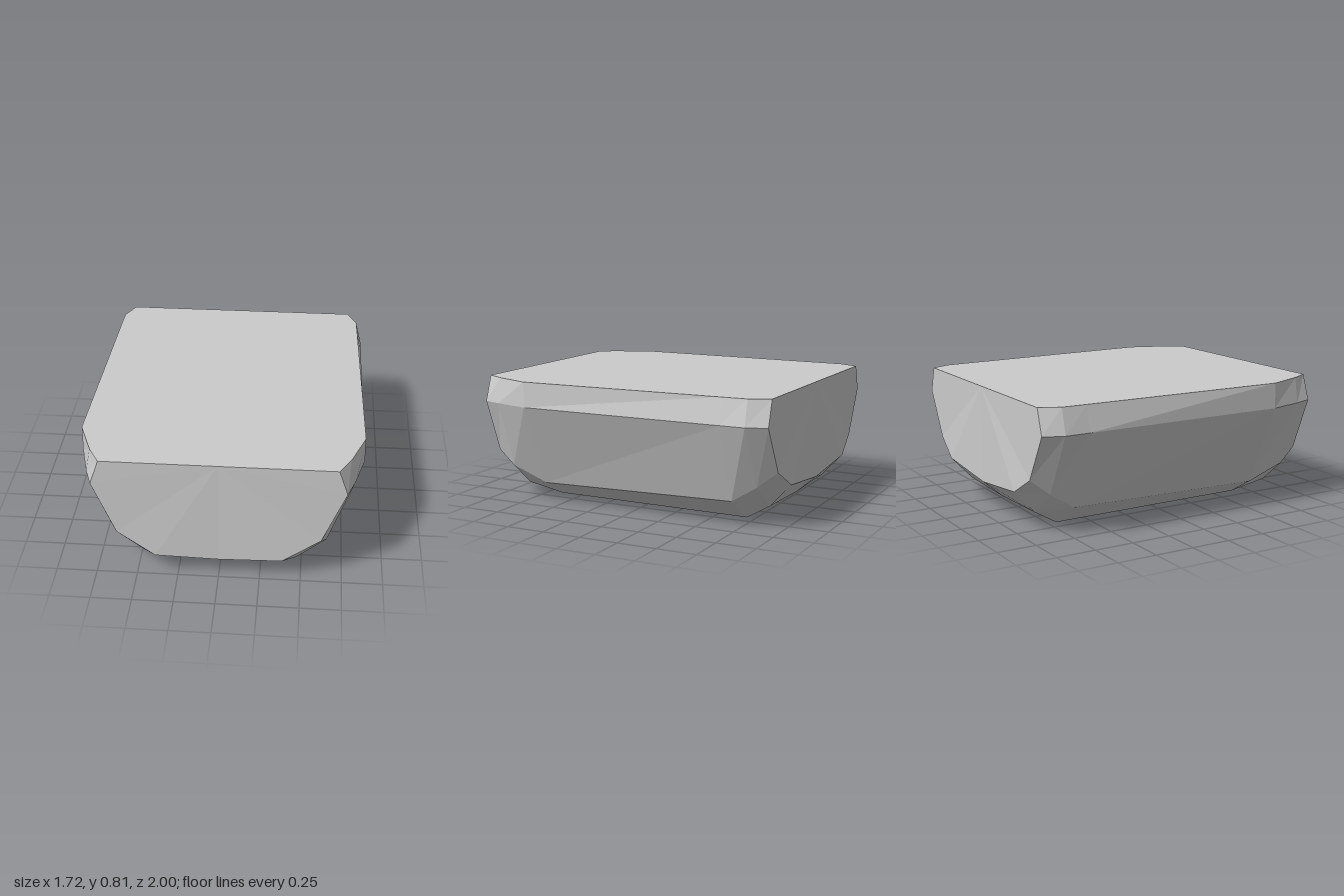
import * as THREE from 'three';

// Half cross-sections from front to back, each [x, y, z]:
// top rim, side shoulder, chine, bottom edge, keel
const sections = [
  [[0.70, 0.81, 0.985], [0.755, 0.65, 0.987], [0.615, 0.305, 0.99], [0.385, 0.145, 1.0], [0, 0.125, 0.987]],
  [[0.77, 0.81, 0.86], [0.80, 0.65, 0.86], [0.65, 0.22, 0.86], [0.47, 0.07, 0.86], [0, 0.04, 0.86]],
  [[0.858, 0.81, 0.63], [0.86, 0.65, 0.63], [0.62, 0.12, 0.63], [0.43, 0.01, 0.63], [0, 0.005, 0.63]],
  [[0.825, 0.81, -0.70], [0.86, 0.65, -0.70], [0.67, 0.16, -0.70], [0.43, 0.004, -0.70], [0, 0, -0.70]],
  [[0.82, 0.81, -0.86], [0.86, 0.65, -0.86], [0.665, 0.26, -0.86], [0.46, 0.10, -0.86], [0, 0.09, -0.86]],
  [[0.76, 0.81, -0.985], [0.81, 0.65, -0.985], [0.65, 0.36, -0.985], [0.47, 0.25, -1.0], [0, 0.20, -0.987]],
];

// Mirror a half section into a full ring, left rim to right rim
function fullRing(half) {
  const mirrored = half.slice(0, -1).reverse().map(([x, y, z]) => [-x, y, z]);
  return [...half, ...mirrored];
}

function loftGeometry(rings) {
  const positions = [];
  const tri = (a, b, c) => positions.push(...a, ...b, ...c);
  const n = rings[0].length;

  // Sides, underside and flat top
  for (let s = 0; s < rings.length - 1; s++) {
    const a = rings[s], b = rings[s + 1];
    for (let i = 0; i < n; i++) {
      const j = (i + 1) % n;
      tri(a[i], a[j], b[i]);
      tri(a[j], b[j], b[i]);
    }
  }

  // End faces, fanned from the middle of the top edge
  const front = rings[0], back = rings[rings.length - 1];
  const frontMid = [0, front[0][1], front[0][2]];
  const backMid = [0, back[0][1], back[0][2]];
  for (let i = 0; i < n - 1; i++) {
    tri(frontMid, front[i + 1], front[i]);
    tri(backMid, back[i], back[i + 1]);
  }

  const geometry = new THREE.BufferGeometry();
  geometry.setAttribute('position', new THREE.Float32BufferAttribute(positions, 3));
  geometry.computeVertexNormals();
  return geometry;
}

export function createModel() {
  const group = new THREE.Group();
  group.name = 'facetedBlock';
  const material = new THREE.MeshStandardMaterial({ color: 0xcccccc, flatShading: true });
  const body = new THREE.Mesh(loftGeometry(sections.map(fullRing)), material);
  body.name = 'body';
  group.add(body);
  return group;
}
